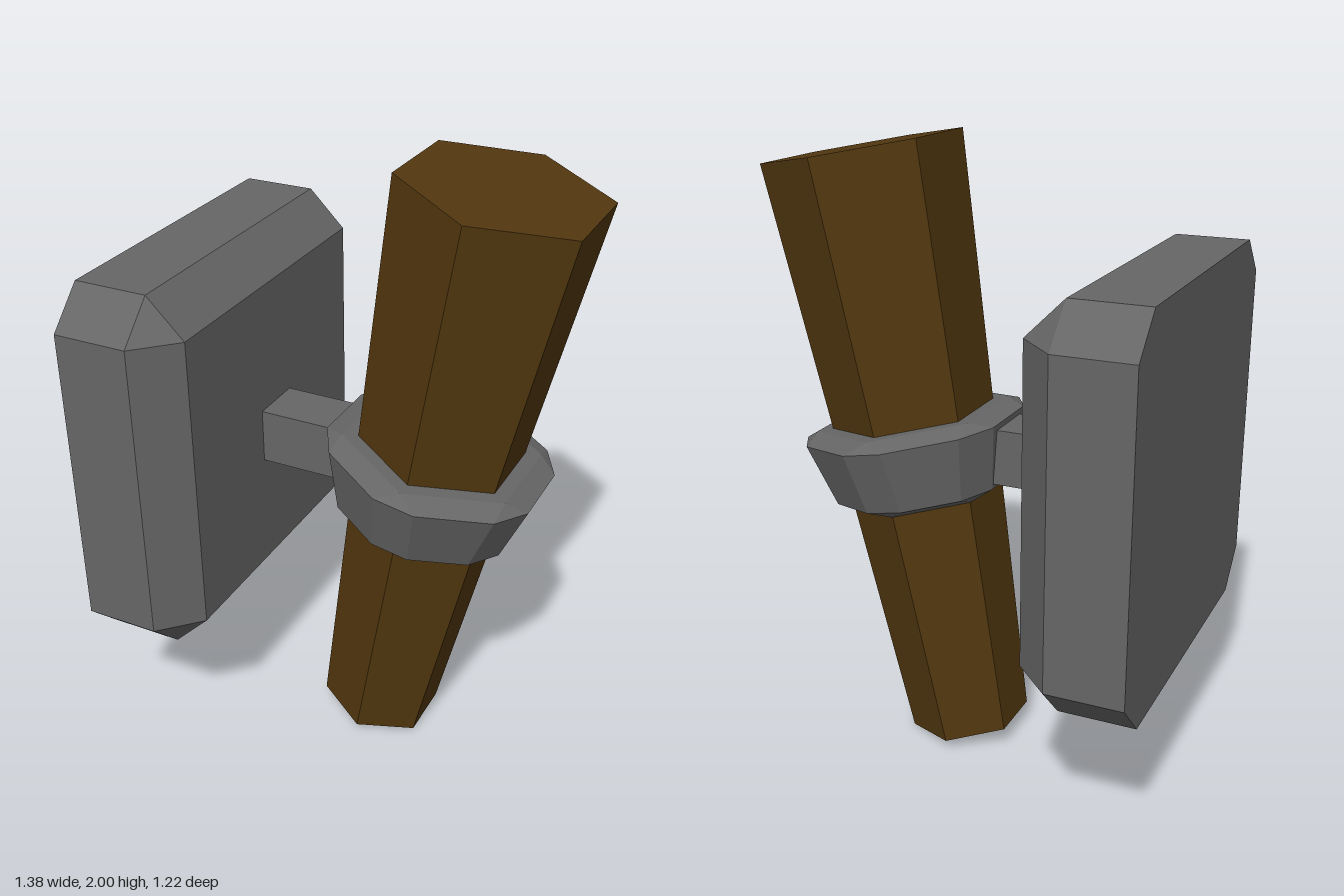
import * as THREE from 'three';
import { ConvexGeometry } from 'three/addons/geometries/ConvexGeometry.js';

const metal = new THREE.MeshStandardMaterial({ color: 0x666666, flatShading: true });
metal.name = 'grey metal';
const wood = new THREE.MeshStandardMaterial({ color: 0x52370f, flatShading: true });
wood.name = 'dark wood';

function addMesh(parent, name, geometry, material) {
  const mesh = new THREE.Mesh(geometry, material);
  mesh.name = name;
  parent.add(mesh);
  return mesh;
}

// Corners of a regular polygon at height y, with flat sides at the given apothem.
// Each side runs to +-half of its middle, so a short half cuts the corners.
function ringPoints(sides, apothem, half, y) {
  const points = [];
  for (let i = 0; i < sides; i++) {
    const a = (i / sides) * Math.PI * 2;
    for (const s of [-half, half]) {
      points.push(new THREE.Vector3(
        apothem * Math.cos(a) - s * Math.sin(a), y,
        apothem * Math.sin(a) + s * Math.cos(a)));
    }
  }
  return points;
}

// Uncut polygon, one point per corner
function polygonPoints(sides, apothem, y) {
  const r = apothem / Math.cos(Math.PI / sides);
  return Array.from({ length: sides }, (_, i) => {
    const a = ((i + 0.5) / sides) * Math.PI * 2;
    return new THREE.Vector3(r * Math.cos(a), y, r * Math.sin(a));
  });
}

export function createModel() {
  const group = new THREE.Group();
  group.name = 'wallTorch';

  // Wall plate: chamfered square block, flat at the back
  const plate = addMesh(group, 'wallPlate', new ConvexGeometry([
    ...ringPoints(4, 0.61, 0.49, 0),
    ...ringPoints(4, 0.61, 0.49, 0.24),
    ...polygonPoints(4, 0.49, 0.36),
  ]), metal);
  plate.rotation.z = -Math.PI / 2;
  plate.position.set(-0.69, 1.05, 0);

  // Arm from the plate into the ring
  const arm = addMesh(group, 'arm', new THREE.BoxGeometry(0.35, 0.18, 0.18), metal);
  arm.position.set(-0.165, 1.03, 0);

  // Tilted torch: holder ring and handle share one axis
  const torch = new THREE.Group();
  torch.name = 'torch';
  torch.position.set(0.238, 0.993, 0);
  torch.rotation.z = -0.1875;
  group.add(torch);

  addMesh(torch, 'handle', new THREE.CylinderGeometry(0.317, 0.198, 1.947, 6), wood);

  // Bevelled hexagonal collar, wider at the top
  addMesh(torch, 'holderRing', new ConvexGeometry([
    ...polygonPoints(6, 0.218, -0.155),
    ...ringPoints(6, 0.285, 0.095, -0.125),
    ...ringPoints(6, 0.34, 0.12, 0.084),
    ...polygonPoints(6, 0.273, 0.112),
  ]), metal);

  return group;
}
